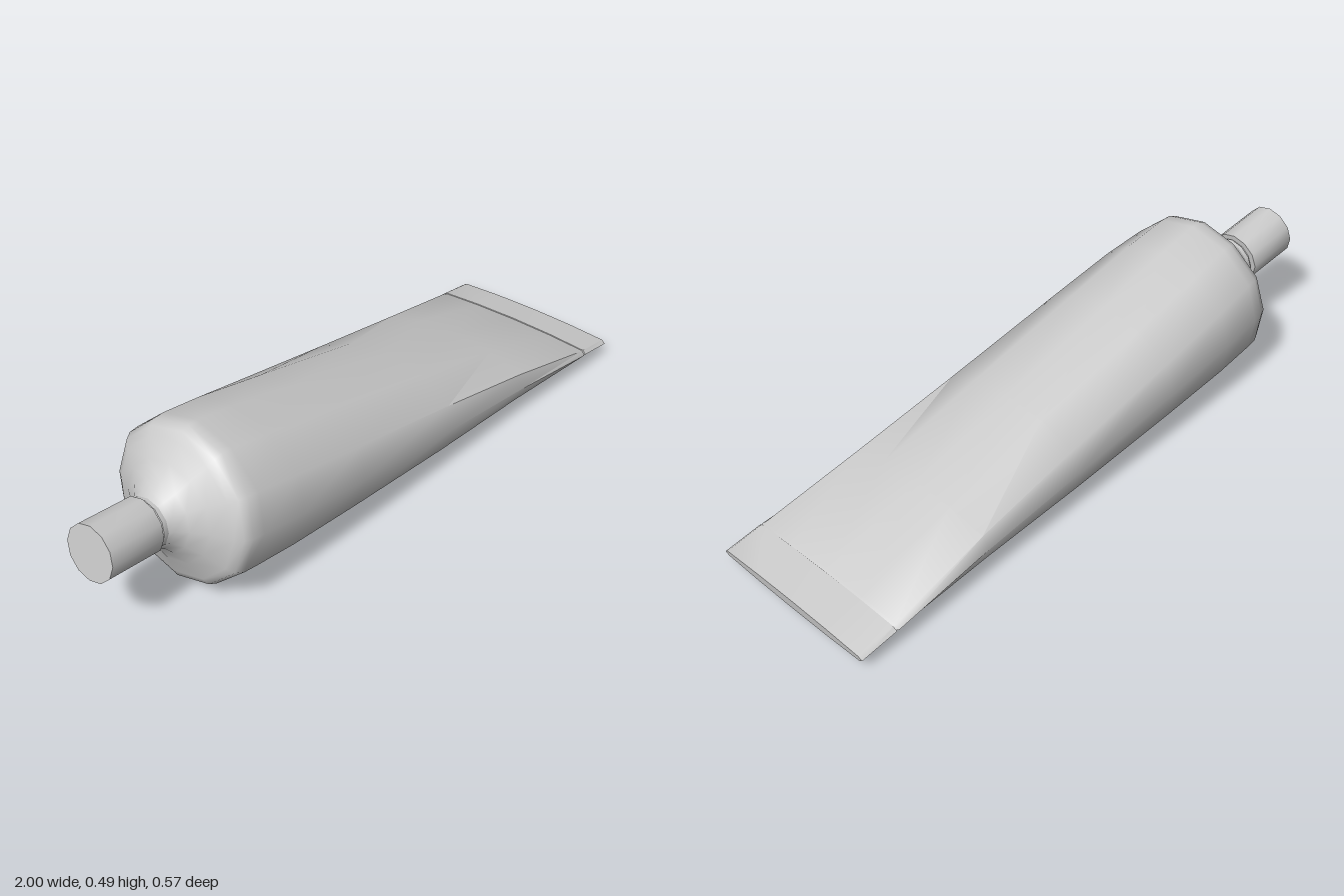
import * as THREE from 'three';
import { toCreasedNormals } from 'three/addons/utils/BufferGeometryUtils.js';

const SIDES = 12;

// Skins rings given as [topX, topY, bottomX, bottomY, halfWidth, flatness].
// Flatness pushes the shoulder points of the ring outwards.
function loft(rings, crease) {
  const pos = [], index = [];
  rings.forEach(([tx, ty, bx, by, w, flat]) => {
    for (let j = 0; j < SIDES; j++) {
      const a = (j / SIDES) * Math.PI * 2;
      const t = (1 - Math.cos(a)) / 2;
      const s = Math.sin(a);
      const widen = Math.abs(s) > 0.8 && Math.abs(s) < 0.95 ? 1 + flat : 1;
      pos.push(tx + (bx - tx) * t, ty + (by - ty) * t, s * w * widen);
    }
  });
  for (let i = 0; i < rings.length - 1; i++) {
    for (let j = 0; j < SIDES; j++) {
      const k = (j + 1) % SIDES;
      const a = i * SIDES + j, b = i * SIDES + k;
      index.push(a, b, a + SIDES, b, b + SIDES, a + SIDES);
    }
  }
  // end faces
  const last = (rings.length - 1) * SIDES;
  for (let j = 1; j < SIDES - 1; j++) {
    index.push(0, j + 1, j, last, last + j, last + j + 1);
  }
  const geo = new THREE.BufferGeometry();
  geo.setAttribute('position', new THREE.Float32BufferAttribute(pos, 3));
  geo.setIndex(index);
  return toCreasedNormals(geo, crease);
}

export function createModel() {
  const group = new THREE.Group();
  const material = new THREE.MeshStandardMaterial({ color: 0xcccccc });
  const add = (name, geometry) => {
    const mesh = new THREE.Mesh(geometry, material);
    mesh.name = name;
    group.add(mesh);
  };

  // screw cap, tilted with the mouth of the tube
  add('cap', loft([
    [-0.979, 0.386, -1.0, 0.221, 0.083, 0],
    [-0.802, 0.362, -0.823, 0.199, 0.083, 0],
  ], 0.8));

  // neck with a thin collar
  add('neck', loft([
    [-0.815, 0.345, -0.83, 0.218, 0.064, 0],
    [-0.798, 0.343, -0.813, 0.216, 0.064, 0],
    [-0.794, 0.352, -0.811, 0.205, 0.074, 0],
    [-0.784, 0.351, -0.801, 0.203, 0.074, 0],
    [-0.765, 0.35, -0.78, 0.2, 0.074, 0],
  ], 0.6));

  // shoulder and squeezed body, round at the front and flat at the tail
  add('body', loft([
    [-0.785, 0.35, -0.8, 0.203, 0.072, 0],
    [-0.763, 0.358, -0.78, 0.192, 0.08, 0],
    [-0.735, 0.378, -0.758, 0.165, 0.108, 0],
    [-0.7, 0.415, -0.732, 0.118, 0.152, 0],
    [-0.665, 0.463, -0.71, 0.055, 0.208, 0.01],
    [-0.645, 0.485, -0.7, 0.033, 0.23, 0.02],
    [-0.622, 0.495, -0.675, 0.021, 0.241, 0.03],
    [-0.59, 0.493, -0.635, 0.018, 0.246, 0.03],
    [-0.45, 0.462, -0.49, 0.013, 0.258, 0.03],
    [-0.2, 0.396, -0.24, 0.007, 0.263, 0.04],
    [0.2, 0.29, 0.15, 0.001, 0.266, 0.06],
    [0.55, 0.186, 0.52, 0.016, 0.272, 0.085],
    [0.872, 0.079, 0.868, 0.037, 0.287, 0.105],
    [0.882, 0.074, 0.878, 0.039, 0.28, 0.105],
  ], 0.95));

  // folded crimp closing the tail
  add('crimp', loft([
    [0.881, 0.078, 0.876, 0.038, 0.287, 0.105],
    [1.0, 0.057, 0.995, 0.021, 0.287, 0.105],
  ], 0.6));

  return group;
}
